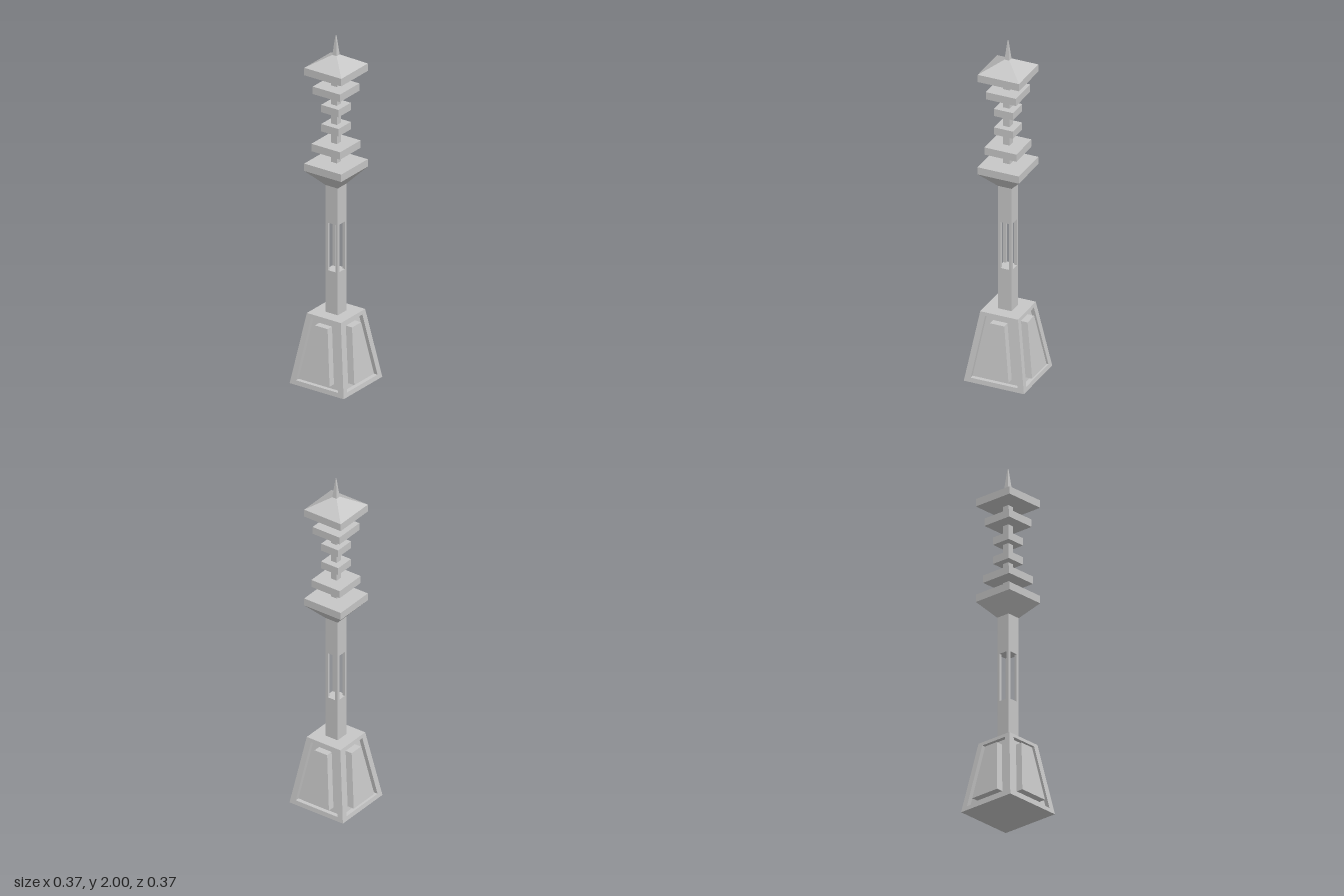
import * as THREE from 'three';

const stone = new THREE.MeshStandardMaterial({ color: 0xc6c6c6 });
stone.name = 'light grey stone';

// Half width of the tapering base at height y
const baseHalf = (y) => 0.175 - 0.1625 * y;

function add(parent, name, geometry) {
  const mesh = new THREE.Mesh(geometry, stone);
  mesh.name = name;
  parent.add(mesh);
  return mesh;
}

// Square block from y0 to y1 whose half width goes from h0 to h1
function block(y0, y1, h0, h1 = h0) {
  let g = new THREE.CylinderGeometry(h1 * Math.SQRT2, h0 * Math.SQRT2, y1 - y0, 4);
  g.rotateY(Math.PI / 4);
  g.translate(0, (y0 + y1) / 2, 0);
  g = g.toNonIndexed();
  g.computeVertexNormals();
  return g;
}

const trapezoid = (y0, y1, h0, h1) =>
  [[-h0, y0], [h0, y0], [h1, y1], [-h1, y1]].map(([x, y]) => new THREE.Vector2(x, y));

// Plate lying on the sloping wall, from depth z0 to z1 measured from its face
function slopedPlate(outline, hole, z0, z1, mitre) {
  const shape = new THREE.Shape(outline);
  if (hole) shape.holes.push(new THREE.Path(hole));
  const g = new THREE.ExtrudeGeometry(shape, { depth: z1 - z0, bevelEnabled: false });
  const p = g.attributes.position;
  for (let i = 0; i < p.count; i++) {
    const z = p.getZ(i) + z0 + baseHalf(p.getY(i));
    p.setZ(i, z);
    if (mitre) p.setX(i, THREE.MathUtils.clamp(p.getX(i), -z, z));
  }
  g.computeVertexNormals();
  return g;
}

export function createModel() {
  const model = new THREE.Group();
  model.name = 'tower';

  // Base: inner core, four mitred frames and four raised panels
  const base = new THREE.Group();
  base.name = 'base';
  model.add(base);
  const recess = 0.024;
  add(base, 'baseCore', block(0, 0.4, baseHalf(0) - recess, baseHalf(0.4) - recess));
  const frame = slopedPlate(
    trapezoid(0, 0.4, baseHalf(0), baseHalf(0.4)),
    trapezoid(0.025, 0.38, 0.137, 0.08), -recess, 0, true);
  const panel = slopedPlate(trapezoid(0.052, 0.355, 0.089, 0.041), null, -recess, 0.016, false);
  for (let i = 0; i < 4; i++) {
    add(base, 'baseFrame', frame).rotation.y = i * Math.PI / 2;
    add(base, 'basePanel', panel).rotation.y = i * Math.PI / 2;
  }

  // Shaft with an opening on every side, left between four corner posts
  add(model, 'lowerShaft', block(0.4, 0.645, 0.04));
  add(model, 'upperShaft', block(0.92, 1.135, 0.04));
  const post = new THREE.BoxGeometry(0.016, 0.275, 0.016);
  for (const x of [-1, 1]) for (const z of [-1, 1]) {
    add(model, 'cornerPost', post).position.set(x * 0.032, 0.7825, z * 0.032);
  }

  // Flared support, mast and stacked slabs
  add(model, 'flare', block(1.135, 1.224, 0.04, 0.12));
  add(model, 'mast', block(1.26, 1.785, 0.019));
  const slabs = [[1.224, 0.12], [1.336, 0.093], [1.447, 0.056], [1.558, 0.056], [1.667, 0.088], [1.779, 0.12]];
  for (const [y, half] of slabs) add(model, 'slab', block(y, y + 0.043, half));

  // Roof and spire
  add(model, 'roof', block(1.822, 1.886, 0.12, 0.014));
  add(model, 'spire', block(1.886, 2, 0.014, 0.002));

  return model;
}
